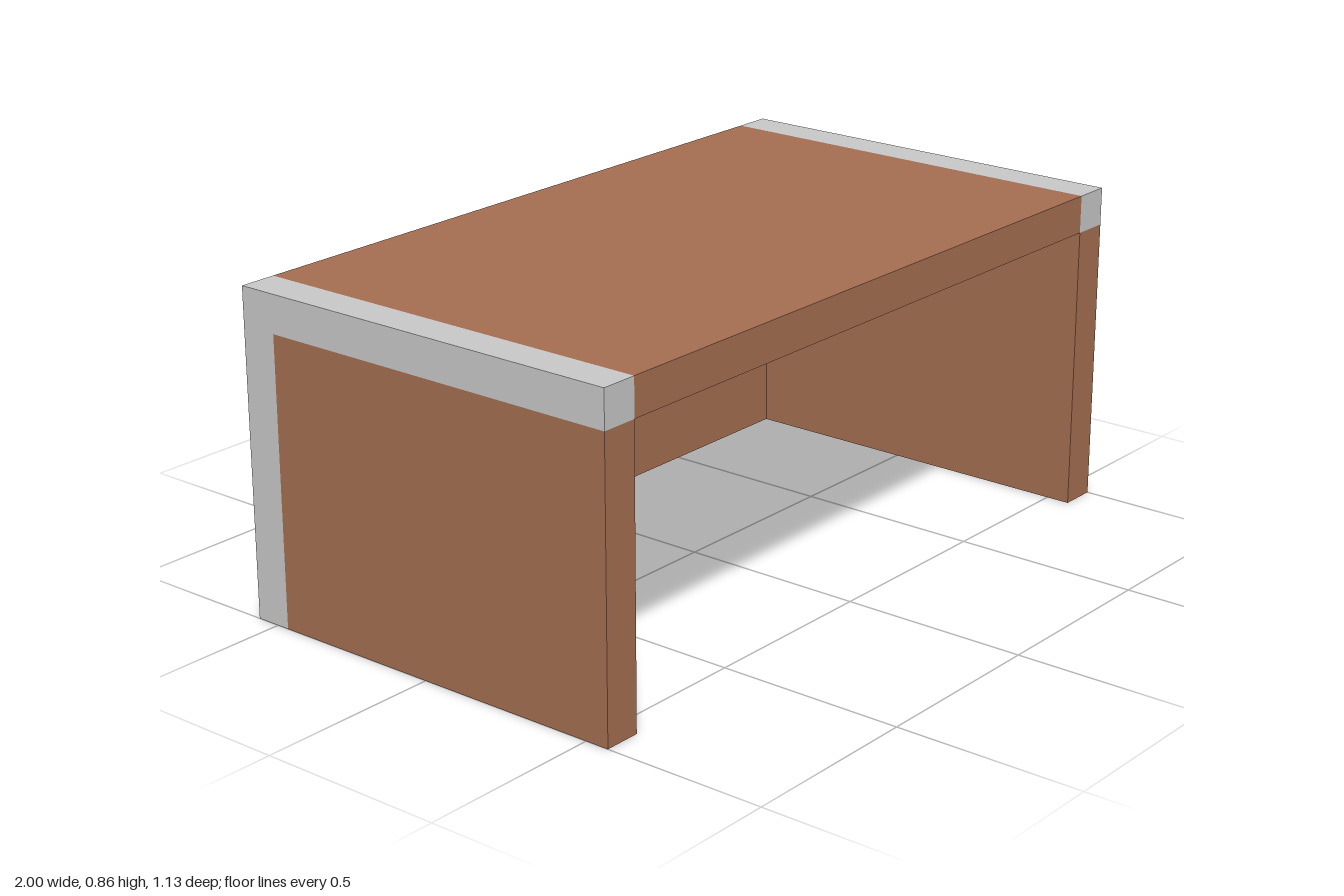
import * as THREE from 'three';

export function createModel() {
  const model = new THREE.Group();
  model.name = 'desk';

  const wood = new THREE.MeshStandardMaterial({ color: 0xa66f52 });
  wood.name = 'brown wood';
  const grey = new THREE.MeshStandardMaterial({ color: 0xc9c9c9 });
  grey.name = 'light grey';

  const T = 0.1; // board thickness
  const W = 1, D = 0.565, H = 0.86; // half width, half depth, height
  const under = H - T; // underside of the top

  // Box given by its minimum and maximum corners
  function board(name, min, max, material) {
    const size = max.map((v, i) => v - min[i]);
    const mesh = new THREE.Mesh(new THREE.BoxGeometry(...size), material);
    mesh.position.set(...max.map((v, i) => (v + min[i]) / 2));
    mesh.name = name;
    model.add(mesh);
  }

  // Table top between its grey ends
  board('tableTop', [-W + T, under, -D], [W - T, H, D], wood);

  // Back panel, with a grey band on the inner face just below the top
  board('backPanel', [-W + T, 0, -D], [W - T, under - T, -D + T], wood);
  board('backPanelUpper', [-W + T, under - T, -D], [W - T, under, -D + T],
    [wood, wood, wood, wood, grey, wood]);

  // Sides: top end, side panel and rear corner post
  for (const [side, x] of [['right', -W], ['left', W - T]]) {
    board(side + 'TopEnd', [x, under, -D], [x + T, H, D], grey);
    board(side + 'SidePanel', [x, 0, -D + T], [x + T, under, D], wood);
    board(side + 'RearPost', [x, 0, -D], [x + T, under, -D + T], grey);
  }

  return model;
}
